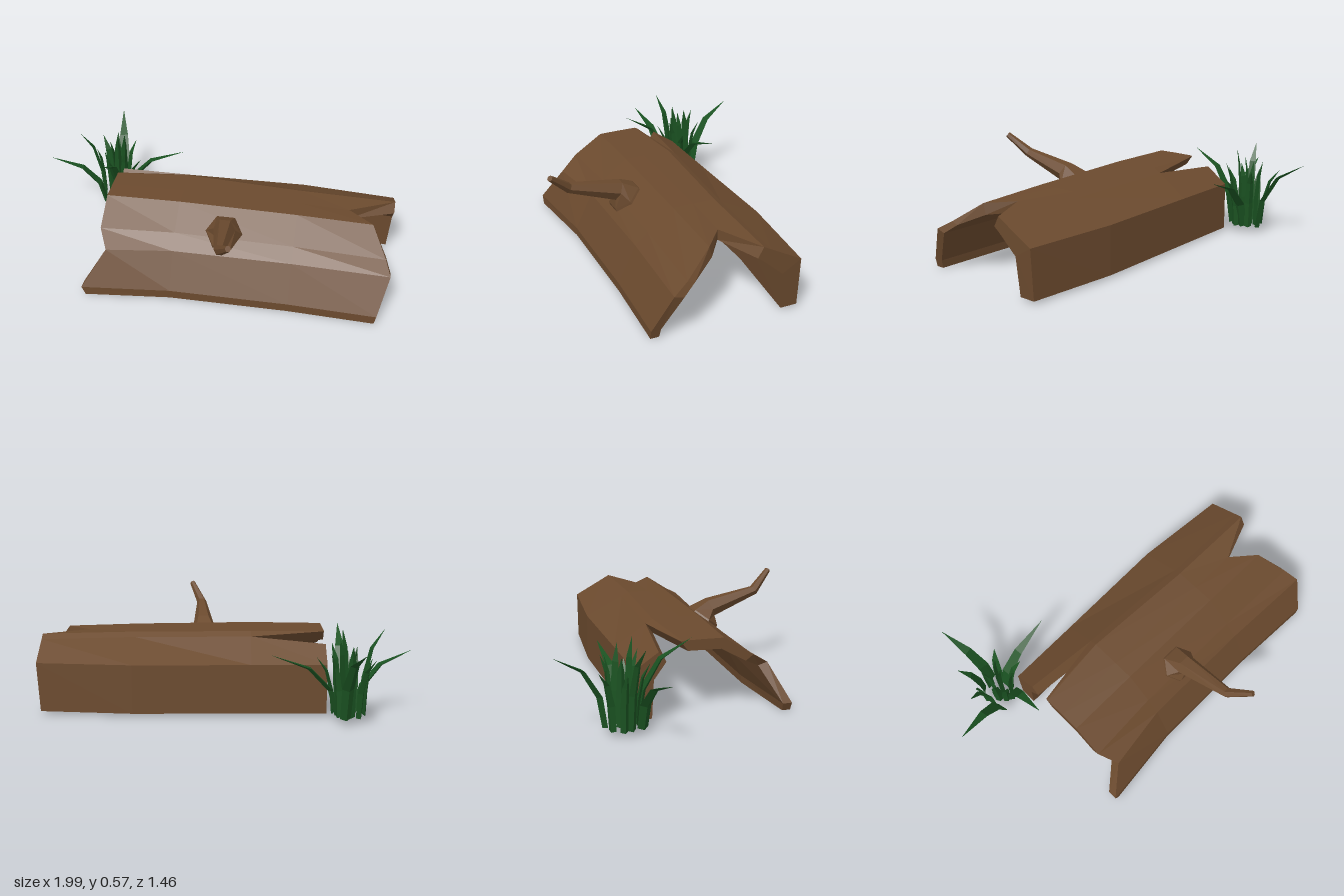
import * as THREE from 'three';

const paint = (color) => new THREE.MeshStandardMaterial({ color, flatShading: true, side: THREE.DoubleSide });

// Skin a list of equal-length rings of [x, y, z], closing both ends
function loft(name, rings, material) {
  const n = rings[0].length, last = (rings.length - 1) * n, index = [];
  const tri = (a, b, c) => { if (a !== b && b !== c && a !== c) index.push(a, b, c); };
  for (let j = 0; j < rings.length - 1; j++) {
    for (let i = 0; i < n; i++) {
      const k = (i + 1) % n, a = j * n;
      tri(a + i, a + k, a + n + k);
      tri(a + i, a + n + k, a + n + i);
    }
  }
  // Ladder-shaped caps suit both thin slabs and convex rings
  for (let i = 0; i < (n - 1) >> 1; i++) {
    const a = i, b = i + 1, c = n - 2 - i, d = n - 1 - i;
    tri(a, c, b); tri(a, d, c);
    tri(last + a, last + b, last + c); tri(last + a, last + c, last + d);
  }
  const geo = new THREE.BufferGeometry();
  geo.setAttribute('position', new THREE.Float32BufferAttribute(rings.flat(2), 3));
  geo.setIndex(index);
  const flat = geo.toNonIndexed();
  flat.computeVertexNormals();
  const mesh = new THREE.Mesh(flat, material);
  mesh.name = name;
  return mesh;
}

// Bark shell: each row is a lengthwise edge, listed front to back.
// row = { l, r: end x; o, i: outer and inner [z, y]; s: z shift per station; e: [z, y] shift at the left end }
function bark(name, rows, material) {
  const bow = [0, 0.005, -0.005, -0.018];
  const rings = [0, 1, 2, 3].map((j) => {
    const at = (row, [z, y]) => [
      [row.l, -0.15, 0.48, row.r][j],
      y + (y > 0.3 ? bow[j] : 0) + (j === 0 && row.e ? row.e[1] : 0),
      z + row.s[j] + (j === 0 && row.e ? row.e[0] : 0),
    ];
    return [...rows.map((r) => at(r, r.i)), ...rows.map((r) => at(r, r.o)).reverse()];
  });
  return loft(name, rings, material);
}

// Branch ring: six points round a centre, facing along a direction
function ring(center, dir, radius) {
  const d = new THREE.Vector3(...dir).normalize();
  const u = new THREE.Vector3(1, 0, 0).addScaledVector(d, -d.x).normalize();
  const v = d.clone().cross(u);
  return Array.from({ length: 6 }, (_, i) => {
    const a = (i / 6) * Math.PI * 2;
    return new THREE.Vector3(...center)
      .addScaledVector(u, Math.cos(a) * radius)
      .addScaledVector(v, Math.sin(a) * radius).toArray();
  });
}

// Folded grass blade rising from the ground and arching to its tip
function blade([bx, bz, tx, ty, tz], width, material) {
  const y0 = 0.04, dx = tx - bx, dz = tz - bz, len = Math.hypot(dx, dz);
  const ox = dx / len, oz = dz / len;
  const path = [[0, 0, 0.9], [0.1, 0.42, 1], [0.42, 0.78, 0.75], [1, 1, 0.02]];
  const rings = path.map(([out, up, w]) => {
    const x = bx + dx * out, y = y0 + (ty - y0) * up, z = bz + dz * out, h = w * width;
    return [
      [x - oz * h, y, z + ox * h],
      [x + ox * h * 0.6, y - h * 0.3, z + oz * h * 0.6],
      [x + oz * h, y, z - ox * h],
    ].reverse();
  });
  return loft('grassBlade', rings, material);
}

export function createModel() {
  const model = new THREE.Group();
  const wood = paint(0x6b4a2e), green = paint(0x1a5221);

  // Hollow fallen log, split along the back at its left-hand end
  const log = new THREE.Group();
  log.name = 'hollowLog';
  const front = [0.05, 0, 0, 0.02], back = [0, -0.005, -0.015, 0.03], none = [0, 0, 0, 0];
  log.add(bark('frontBark', [
    { l: -0.6, r: 0.93, o: [0.475, 0], i: [0.43, 0], s: front },
    { l: -0.62, r: 0.94, o: [0.475, 0.045], i: [0.425, 0.045], s: front },
    { l: -0.5, r: 0.99, o: [0.38, 0.24], i: [0.33, 0.225], s: front },
    { l: -0.55, r: 0.96, o: [0.31, 0.305], i: [0.27, 0.275], s: [0.02, 0, 0, 0.01] },
    { l: -0.55, r: 0.88, o: [0.17, 0.41], i: [0.155, 0.352], s: none },
    { l: -0.55, r: 0.75, o: [0.06, 0.412], i: [0.06, 0.355], s: none },
    { l: -0.55, r: 0.99, o: [-0.09, 0.412], i: [-0.06, 0.357], s: [0.04, 0, 0.03, 0.03] },
    { l: -0.55, r: 0.99, o: [-0.13, 0.39], i: [-0.09, 0.335], s: [0.07, 0, 0.03, 0.03], e: [0, 0.02] },
  ], wood));
  log.add(bark('backBark', [
    { l: -0.55, r: 0.99, o: [-0.13, 0.39], i: [-0.09, 0.335], s: [0, 0, 0.03, 0.03], e: [-0.045, -0.025] },
    { l: -0.55, r: 0.99, o: [-0.3, 0.28], i: [-0.2, 0.22], s: back },
    { l: -0.55, r: 0.975, o: [-0.3, 0.015], i: [-0.21, 0.015], s: back },
  ], wood));
  model.add(log);

  // Broken branch stub with a flared foot
  model.add(loft('branch', [
    ring([0.11, 0.305, 0.27], [0, 0.84, 0.55], 0.105),
    ring([0.11, 0.335, 0.29], [0, 0.8, 0.6], 0.095),
    ring([0.12, 0.38, 0.33], [0, 0.4, 0.9], 0.057),
    ring([0.14, 0.455, 0.605], [0.2, 0.5, 0.85], 0.028),
    ring([0.2, 0.555, 0.717], [0.4, 0.6, 0.7], 0.016),
  ], wood));

  // Grass tuft: [base x, base z, tip x, tip y, tip z]
  const grass = new THREE.Group();
  grass.name = 'grassTuft';
  const long = [
    [-0.63, -0.47, -0.69, 0.43, -0.73],
    [-0.6, -0.39, -0.25, 0.36, -0.42],
    [-0.7, -0.3, -1.0, 0.35, -0.24],
    [-0.62, -0.31, -0.625, 0.45, -0.03],
  ];
  const short = [
    [-0.72, -0.36, -0.84, 0.48, -0.32], [-0.7, -0.45, -0.77, 0.36, -0.53],
    [-0.6, -0.43, -0.55, 0.38, -0.475], [-0.58, -0.36, -0.49, 0.33, -0.34],
    [-0.66, -0.4, -0.69, 0.4, -0.4], [-0.64, -0.36, -0.62, 0.48, -0.33],
    [-0.62, -0.42, -0.6, 0.45, -0.4], [-0.68, -0.35, -0.7, 0.38, -0.31],
    [-0.66, -0.44, -0.66, 0.42, -0.48], [-0.73, -0.4, -0.77, 0.34, -0.39],
    [-0.6, -0.34, -0.57, 0.4, -0.29], [-0.65, -0.32, -0.66, 0.35, -0.25],
  ];
  long.forEach((b) => grass.add(blade(b, 0.032, green)));
  short.forEach((b) => grass.add(blade(b, 0.024, green)));
  model.add(grass);

  return model;
}
